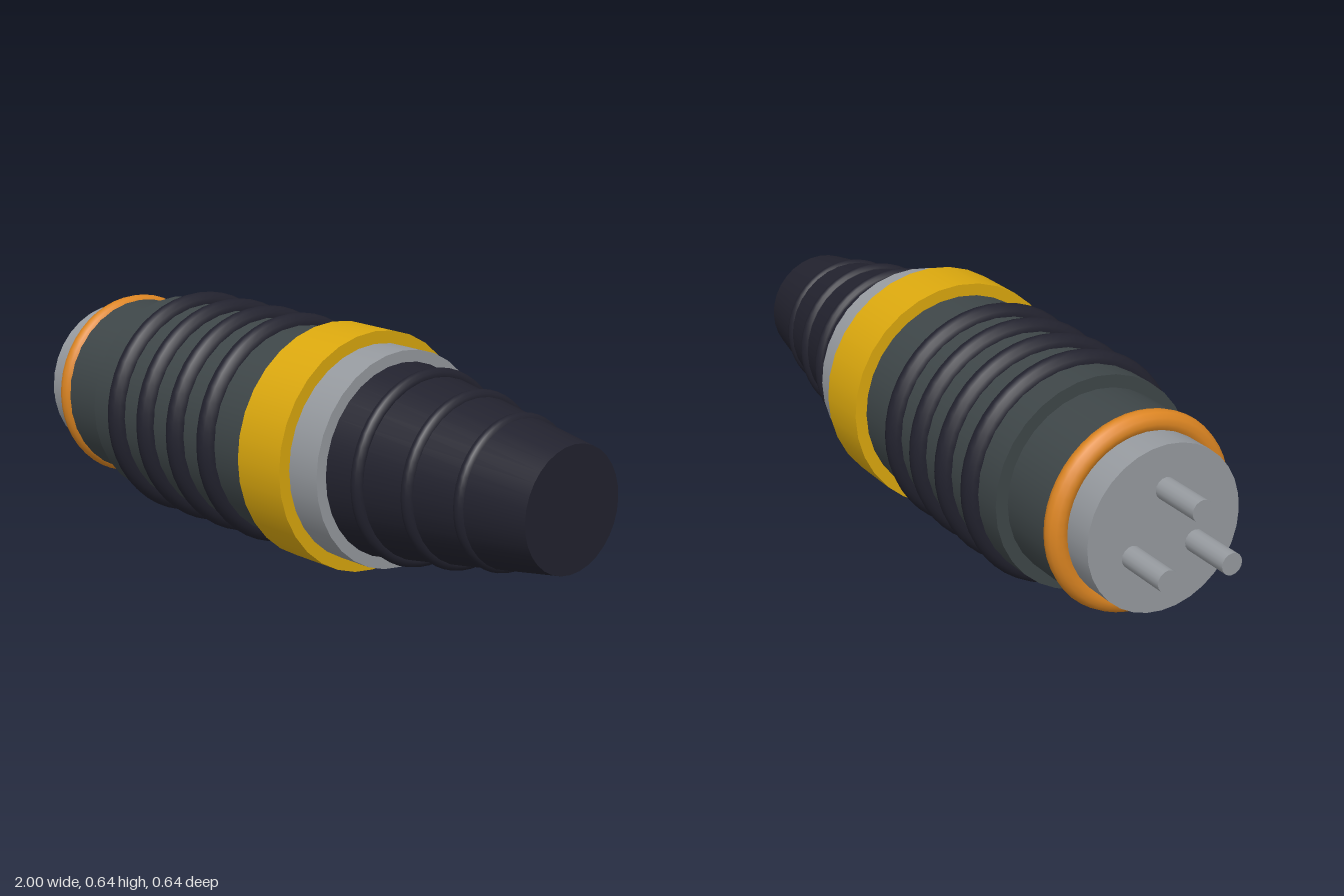
import * as THREE from 'three';

const AXIS_Y = 0.32; // height of the long axis
const SIDES = 32;

export function createModel() {
  const model = new THREE.Group();
  model.name = 'cableConnector';

  const mat = (name, color) => {
    const m = new THREE.MeshStandardMaterial({ color });
    m.name = name;
    return m;
  };
  const graphite = mat('graphite', 0x3e4648);
  const rubber = mat('black rubber', 0x22222e);
  const gold = mat('gold', 0xdba80e);
  const orange = mat('orange', 0xdc8522);
  const silver = mat('silver', 0x969a9f);

  const add = (name, geometry, material, x, y = 0, z = 0) => {
    const mesh = new THREE.Mesh(geometry, material);
    mesh.name = name;
    mesh.position.set(x, AXIS_Y + y, z);
    model.add(mesh);
  };
  // Solid round section along x, from x0 (radius r0) to x1 (radius r1)
  const section = (name, material, x0, x1, r0, r1 = r0, y = 0, z = 0, sides = SIDES) => {
    const g = new THREE.CylinderGeometry(r1, r0, x1 - x0, sides).rotateZ(-Math.PI / 2);
    add(name, g, material, (x0 + x1) / 2, y, z);
  };
  // Rounded ring around the long axis
  const ring = (name, material, x, radius, tube) => {
    const g = new THREE.TorusGeometry(radius, tube, 12, 48).rotateY(Math.PI / 2);
    add(name, g, material, x);
  };

  // Plug end with three contact pins
  section('plugFace', silver, -0.85, -0.70, 0.218);
  for (let i = 0; i < 3; i++) {
    const a = Math.PI / 2 + (i * Math.PI * 2) / 3;
    section('pin' + (i + 1), silver, -1, -0.84, 0.029, 0.029,
      0.105 * Math.sin(a), 0.105 * Math.cos(a), 16);
  }
  ring('sealRing', orange, -0.737, 0.233, 0.03);

  // Stepped body with grip rings
  section('bodyNeck', graphite, -0.737, -0.54, 0.252);
  section('body', graphite, -0.545, 0.15, 0.286);
  for (let i = 0; i < 4; i++) {
    ring('gripRing' + (i + 1), rubber, -0.43 + i * 0.1335, 0.285, 0.03);
  }

  // Locking collar and end cap
  section('lockingCollar', gold, 0.14, 0.305, 0.319);
  section('endCap', silver, 0.29, 0.41, 0.286);

  // Tapered strain relief with ribs
  section('strainRelief', rubber, 0.40, 1, 0.257, 0.16);
  [[0.51, 0.239], [0.66, 0.211], [0.81, 0.181]].forEach(([x, r], i) => {
    ring('reliefRib' + (i + 1), rubber, x, r, 0.018);
  });

  return model;
}
